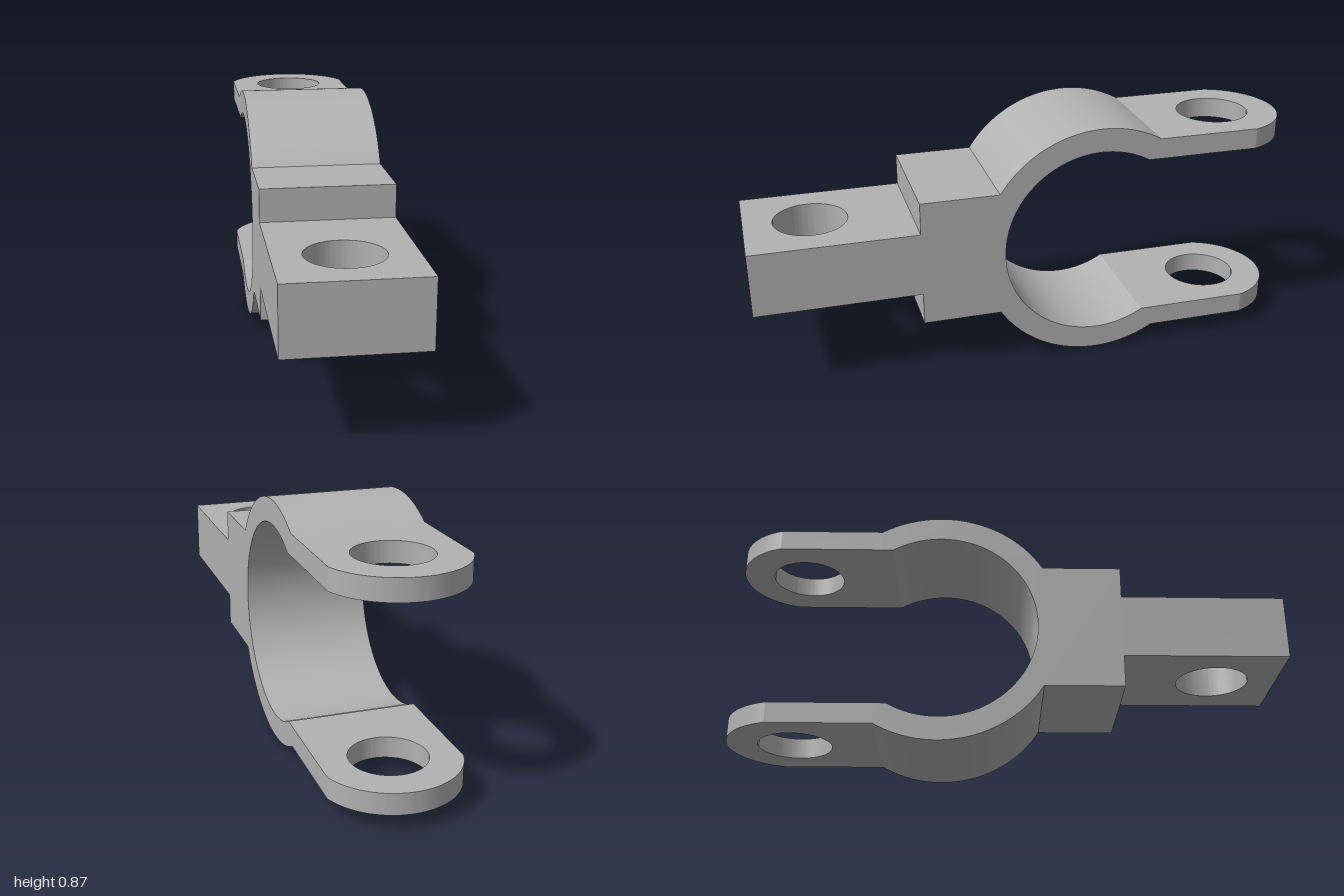
import * as THREE from 'three';
import { toCreasedNormals } from 'three/addons/utils/BufferGeometryUtils.js';

const W = 0.232;          // half width
const CY = 0.437, CZ = -0.24; // ring centre
const RO = 0.437, RI = 0.351; // ring radii
const HOLE = 0.132;

export function createModel() {
  const group = new THREE.Group();
  const steel = new THREE.MeshStandardMaterial({ color: 0xb2b2b2 });
  steel.name = 'grey steel';

  const add = (name, geometry) => {
    const mesh = new THREE.Mesh(toCreasedNormals(geometry, 0.25), steel);
    mesh.name = name;
    group.add(mesh);
  };
  const extrude = (shape, depth) =>
    new THREE.ExtrudeGeometry(shape, { depth, bevelEnabled: false, curveSegments: 64 });

  // Flat plate drawn in x and z, filling y from bottom to top, with one bolt hole
  const plate = (name, shape, holeZ, bottom, top) => {
    const hole = new THREE.Path();
    hole.absarc(0, holeZ, HOLE, 0, Math.PI * 2, true);
    shape.holes.push(hole);
    const g = extrude(shape, top - bottom);
    g.rotateX(Math.PI / 2);
    g.translate(0, top, 0);
    add(name, g);
  };

  // Open ring with its block, as a side profile (z, y) extruded across x
  const blockH = 0.233, earIn = 0.303, earOut = 0.378, blockZ = 0.413;
  const aBlock = Math.asin(blockH / RO);
  const aOut = Math.PI - Math.asin(earOut / RO);
  const aIn = Math.PI - Math.asin(earIn / RI);
  const earZ = CZ + RO * Math.cos(aOut);
  const body = new THREE.Shape();
  body.moveTo(blockZ, CY - blockH);
  body.lineTo(blockZ, CY + blockH);
  body.absarc(CZ, CY, RO, aBlock, aOut, false);
  body.lineTo(earZ, CY + earIn);
  body.absarc(CZ, CY, RI, aIn, -aIn, true);
  body.lineTo(earZ, CY - earIn);
  body.absarc(CZ, CY, RO, -aOut, -aBlock, false);
  body.closePath();
  const ring = extrude(body, 2 * W);
  ring.translate(0, 0, -W);
  ring.rotateY(-Math.PI / 2);
  add('clampRing', ring);

  // Front tongue
  const tongue = new THREE.Shape();
  tongue.moveTo(-W, blockZ);
  tongue.lineTo(W, blockZ);
  tongue.lineTo(W, 1);
  tongue.lineTo(-W, 1);
  tongue.closePath();
  plate('tongue', tongue, 0.765, CY - 0.116, CY + 0.117);

  // Upper and lower rear ears with rounded ends
  const holeZ = -0.757, R = 1 + holeZ, a = Math.acos(W / R);
  for (const [name, side] of [['upperEar', 1], ['lowerEar', -1]]) {
    const ear = new THREE.Shape();
    ear.moveTo(W, earZ);
    ear.lineTo(-W, earZ);
    ear.absarc(0, holeZ, R, Math.PI + a, 2 * Math.PI - a, false);
    ear.closePath();
    const ys = [CY + side * earIn, CY + side * earOut];
    plate(name, ear, holeZ, Math.min(...ys), Math.max(...ys));
  }
  return group;
}
